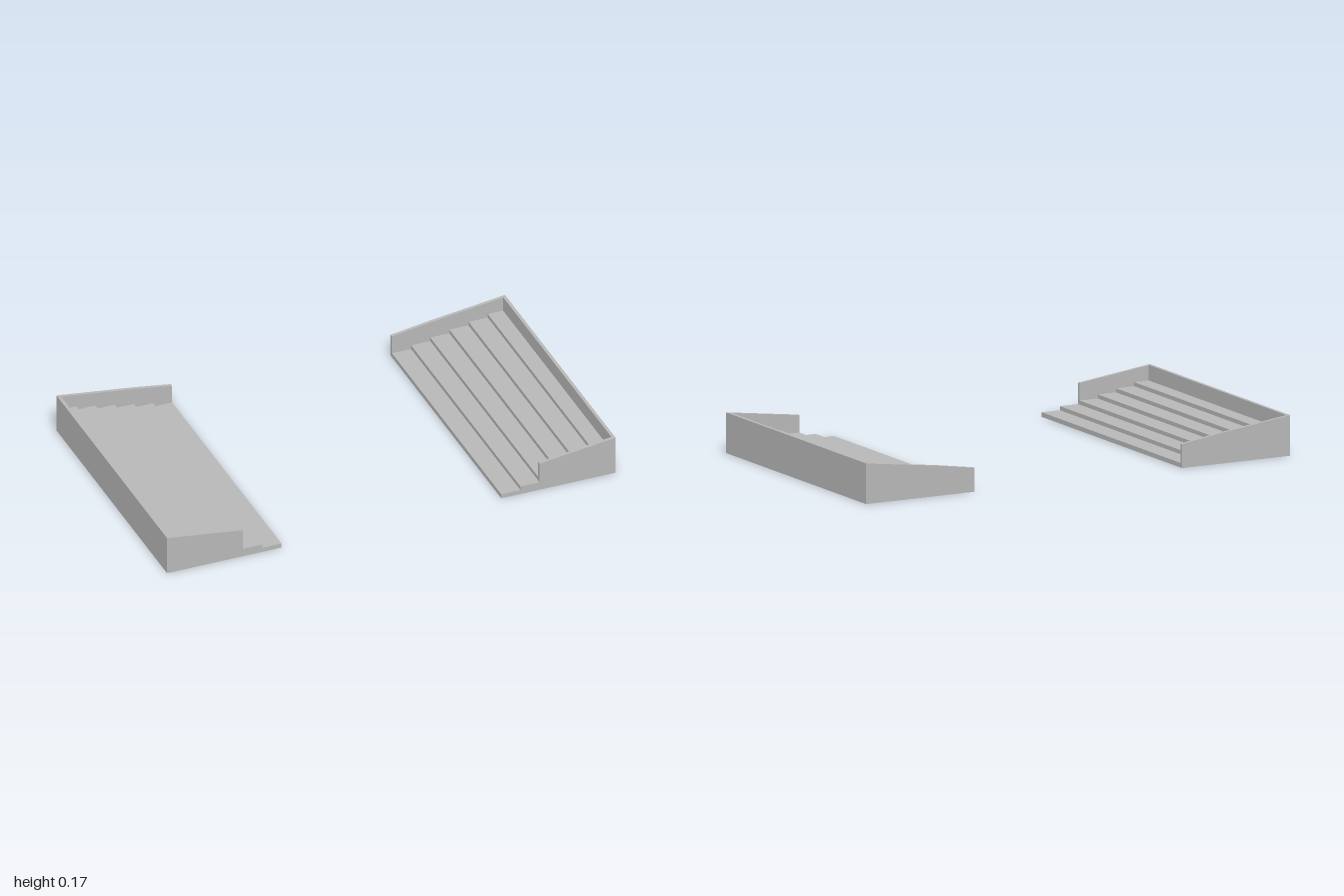
import * as THREE from 'three';

const INNER = 0.49, OUTER = 1, HALF = 0.592, WALL = 0.014;
const STEPS = 6, RUN = 0.0855, RISE = 0.0172, THICK = 0.0195;
const stepX = (i) => Math.min(INNER + RUN * i, OUTER - WALL);
const stepTop = (i) => RISE * i + THICK;

export function createModel() {
  const group = new THREE.Group();
  const concrete = new THREE.MeshStandardMaterial({ color: 0xb8b8b8 });
  concrete.name = 'concrete grey';

  // One stand; side is +1 for the model's left and -1 for its right
  function createStand(side) {
    const stand = new THREE.Group();
    stand.name = side > 0 ? 'leftStand' : 'rightStand';

    const box = (name, x0, x1, y0, y1, z0, z1) => {
      const mesh = new THREE.Mesh(new THREE.BoxGeometry(x1 - x0, y1 - y0, z1 - z0), concrete);
      mesh.position.set(side * (x0 + x1) / 2, (y0 + y1) / 2, (z0 + z1) / 2);
      mesh.name = name;
      stand.add(mesh);
    };
    const endWall = (name, points, z) => {
      const shape = new THREE.Shape(points.map(([x, y]) => new THREE.Vector2(side * x, y)));
      const mesh = new THREE.Mesh(
        new THREE.ExtrudeGeometry(shape, { depth: WALL, bevelEnabled: false }), concrete);
      mesh.position.z = z;
      mesh.name = name;
      stand.add(mesh);
    };

    // Stepped seating terraces, open underneath
    for (let i = 0; i < STEPS; i++) {
      const end = i === STEPS - 1 ? OUTER - WALL : stepX(i + 1);
      box('terrace' + (i + 1), stepX(i), end, RISE * i, stepTop(i), -HALF + WALL, HALF - WALL);
    }

    // Tall wall along the outer side
    box('outerWall', OUTER - WALL, OUTER, 0, 0.171, -HALF + WALL, HALF - WALL);

    // Full sloping wall at the back end
    endWall('backWall', [
      [INNER, 0], [OUTER, 0], [OUTER, 0.171], [stepX(2), 0.127], [INNER, 0.101],
    ], -HALF);

    // Front end wall, cut down to the two lowest terraces as an entrance
    endWall('frontWall', [
      [INNER, 0], [OUTER, 0], [OUTER, 0.171], [stepX(2), 0.127], [stepX(2), stepTop(1)],
      [stepX(1), stepTop(1)], [stepX(1), stepTop(0)], [INNER, stepTop(0)],
    ], HALF - WALL);

    return stand;
  }

  for (const side of [1, -1]) group.add(createStand(side));
  return group;
}
